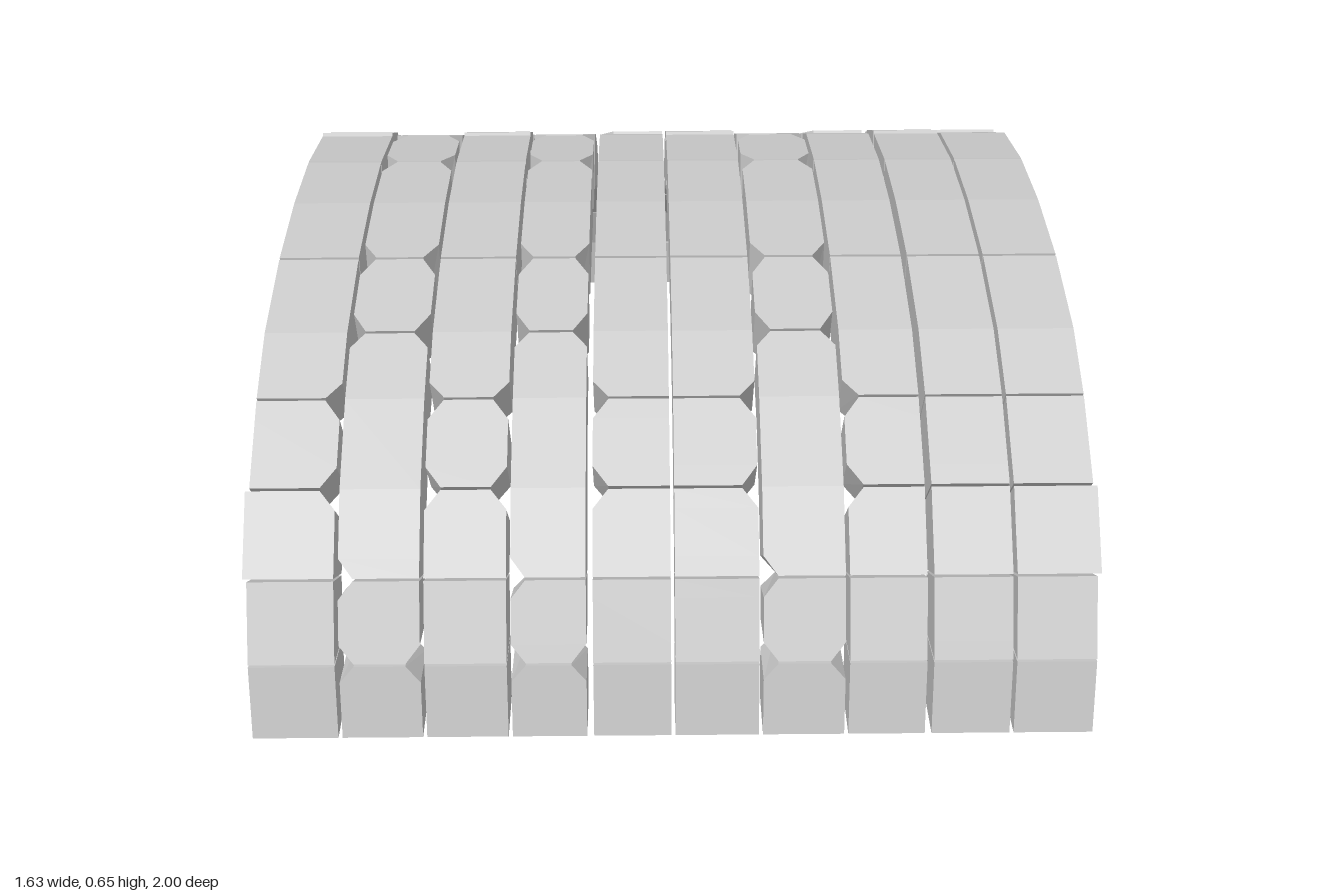
import * as THREE from 'three';

// Half profile of the vault from crown (0) to foot (7): outer z, outer y, inner z, inner y
const PROFILE = [
  [0, 0.655, 0, 0.527], [0.24, 0.643, 0.22, 0.517], [0.48, 0.6, 0.42, 0.483], [0.63, 0.535, 0.565, 0.432],
  [0.79, 0.43, 0.705, 0.335], [0.905, 0.3, 0.8, 0.24], [0.975, 0.152, 0.85, 0.13], [1, 0, 0.872, 0],
];
const SEAMS = [-0.806, -0.638, -0.476, -0.312, -0.156, 0, 0.168, 0.332, 0.492, 0.65, 0.806];
const LONG_COLUMNS = [1, 3, 6];
const LONG_JOINTS = [-7, -5, -2, -1, 1, 2, 5, 6, 7];
const SHORT_JOINTS = [-7, -6, -4, -3, -1, 1, 3, 4, 5, 6, 7];

// Point of the profile at t in -7..7 (negative is the back half)
function profileAt(t) {
  const a = Math.abs(t), i = Math.min(6, Math.floor(a)), f = a - i, s = Math.sign(t);
  const [oz, oy, iz, iy] = PROFILE[i].map((v, k) => v + (PROFILE[i + 1][k] - v) * f);
  return { oz: oz * s, oy, iz: iz * s, iy };
}

// One curved stone lofted through rectangular sections; cut = [backLeft, backRight, frontLeft, frontRight]
function stoneGeometry(x0, x1, t0, t1, cut, lift) {
  const gap = 0.015, bevel = 0.22;
  const a = t0 === -7 ? t0 : t0 + gap, b = t1 === 7 ? t1 : t1 - gap;
  const stations = [[a, cut[0], cut[1]], [a + bevel, 0, 0]];
  for (let t = t0 + 1; t < t1; t++) stations.push([t, 0, 0]);
  stations.push([b - bevel, 0, 0], [b, cut[2], cut[3]]);

  const rings = stations.map(([t, cl, cr]) => {
    const p = profileAt(t), l = x0 + cl, r = x1 - cr;
    const n = Math.hypot(p.oz - p.iz, p.oy - p.iy);
    const oy = p.oy + lift * (p.oy - p.iy) / n, oz = p.oz + lift * (p.oz - p.iz) / n;
    return [[l, oy, oz], [r, oy, oz], [r, p.iy, p.iz], [l, p.iy, p.iz]];
  });
  const pos = [];
  const quad = (p, q, r, s) => [p, q, r, p, r, s].forEach((v) => pos.push(...v));
  quad(...rings[0]);
  for (let i = 0; i < rings.length - 1; i++) {
    for (let k = 0; k < 4; k++) {
      const m = (k + 1) % 4;
      quad(rings[i][k], rings[i + 1][k], rings[i + 1][m], rings[i][m]);
    }
  }
  quad(...rings[rings.length - 1].slice().reverse());
  const g = new THREE.BufferGeometry();
  g.setAttribute('position', new THREE.Float32BufferAttribute(pos, 3));
  g.computeVertexNormals();
  return g;
}

export function createModel() {
  const vault = new THREE.Group();
  vault.name = 'stoneVault';
  const material = new THREE.MeshStandardMaterial({ color: 0xcccccc, flatShading: true });
  const isLong = (c) => LONG_COLUMNS.includes(c);

  // Ten columns of stones, each running over the arch from back foot to front foot
  for (let c = 0; c < 10; c++) {
    const column = new THREE.Group();
    column.name = `archColumn${c + 1}`;
    const long = isLong(c);
    let joints = long ? LONG_JOINTS : SHORT_JOINTS;
    if ([0, 2, 5, 8].includes(c)) joints = [...joints, -2].sort((p, q) => p - q);

    for (let j = 0; j < joints.length - 1; j++) {
      const t0 = joints[j], t1 = joints[j + 1];
      // Stones near the front haunch stick out at the ends of the vault
      const jut = t0 === 4 ? 0.008 : 0;
      const x0 = SEAMS[c] + (c === 0 ? -jut : 0.004);
      const x1 = SEAMS[c + 1] + (c === 9 ? jut : [3, 7].includes(c) ? -0.009 : -0.004);
      // Corners are clipped where long and short columns meet
      const clip = (t, side) => {
        const n = c + side;
        if (Math.abs(t) === 7 || n < 0 || n > 9 || isLong(n) === long) return 0;
        if (long) return side < 0 || Math.abs(t) !== 5 ? 0.028 : 0;
        return Math.abs(t) === 3 || Math.abs(t) === 4 ? 0.03 : 0;
      };
      const cut = [clip(t0, -1), clip(t0, 1), clip(t1, -1), clip(t1, 1)];
      const lift = !long && (t0 === -4 || t1 === -2) ? 0.007 : 0;
      const stone = new THREE.Mesh(stoneGeometry(x0, x1, t0, t1, cut, lift), material);
      stone.name = long ? 'longStone' : 'shortStone';
      column.add(stone);
    }
    vault.add(column);
  }
  return vault;
}
